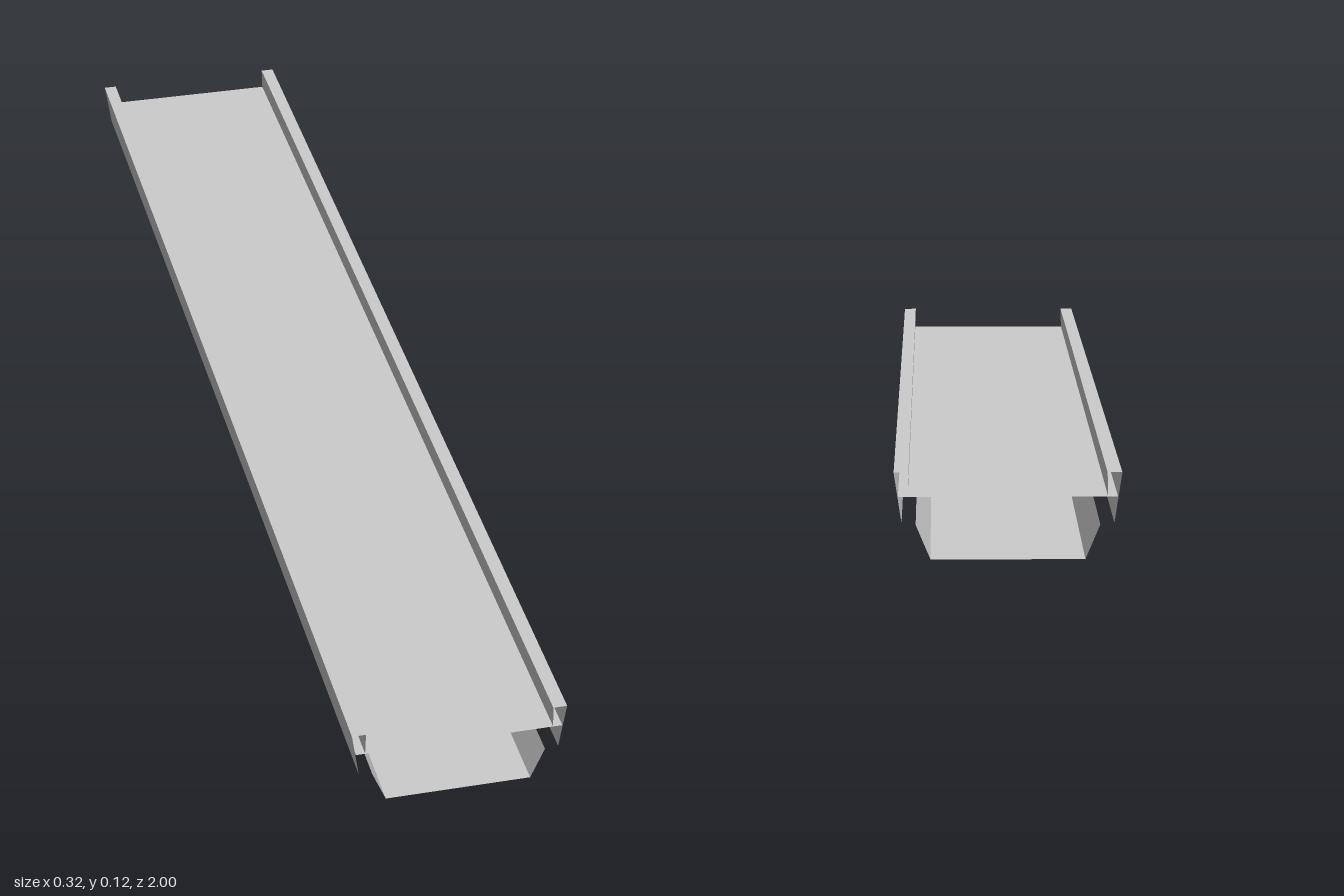
import * as THREE from 'three';

const LENGTH = 2;

// Thin sheet: an open [x, y] profile swept straight along z, with flat facets.
function sheet(name, profile, material) {
  const h = LENGTH / 2;
  const positions = [];
  for (let i = 0; i < profile.length - 1; i++) {
    const [ax, ay] = profile[i];
    const [bx, by] = profile[i + 1];
    positions.push(ax, ay, h, bx, by, h, bx, by, -h);
    positions.push(ax, ay, h, bx, by, -h, ax, ay, -h);
  }
  const geometry = new THREE.BufferGeometry();
  geometry.setAttribute('position', new THREE.Float32BufferAttribute(positions, 3));
  geometry.computeVertexNormals();
  const mesh = new THREE.Mesh(geometry, material);
  mesh.name = name;
  return mesh;
}

export function createModel() {
  const model = new THREE.Group();
  model.name = 'channelTray';
  const material = new THREE.MeshStandardMaterial({
    color: 0xcccccc, side: THREE.DoubleSide, flatShading: true,
  });

  // Lower pan: flat floor with walls flaring outward, open on top
  model.add(sheet('lowerPan',
    [[0.131, 0.05], [0.11, 0], [-0.11, 0], [-0.131, 0.05]], material));

  // Deck plate spanning between the side rails
  model.add(sheet('deck', [[0.156, 0.09], [-0.156, 0.09]], material));

  // Side rails: outer skirt, narrow top and inner lip down to the deck
  for (const [name, s] of [['leftRail', 1], ['rightRail', -1]]) {
    const profile = [[0.151, 0.052], [0.162, 0.125], [0.141, 0.125], [0.142, 0.09]]
      .map(([x, y]) => [s * x, y]);
    if (s < 0) profile.reverse();
    model.add(sheet(name, profile, material));
  }
  return model;
}
